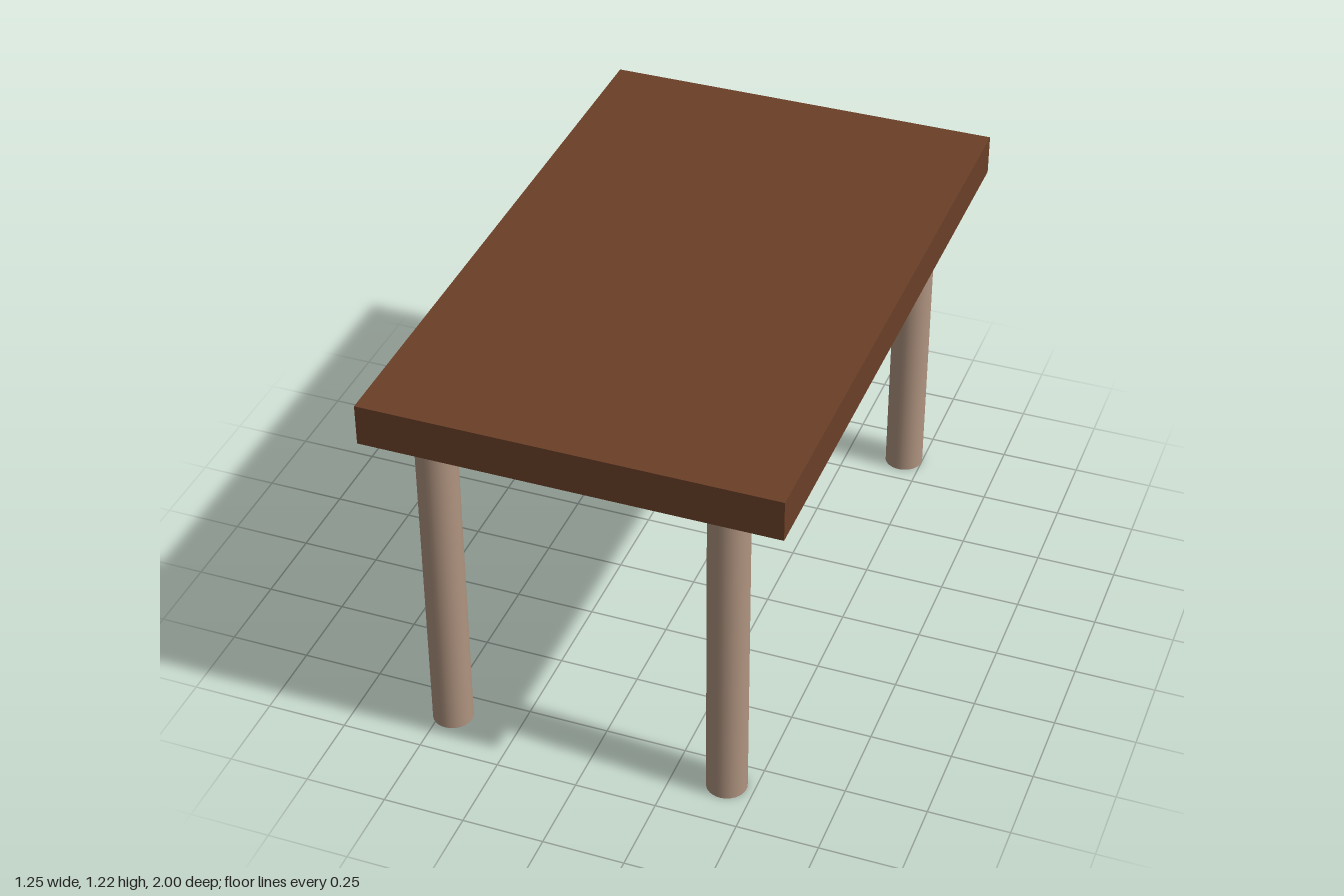
import * as THREE from 'three';

const TOP_HEIGHT = 1.215, TOP_THICKNESS = 0.127;
const LEG_HEIGHT = TOP_HEIGHT - TOP_THICKNESS, LEG_RADIUS = 0.0615;

export function createModel() {
  const model = new THREE.Group();
  model.name = 'table';

  const darkWood = new THREE.MeshStandardMaterial({ color: 0x6b4028 });
  const paleWood = new THREE.MeshStandardMaterial({ color: 0xb09480 });

  // Table top: a plain thick slab
  const top = new THREE.Mesh(new THREE.BoxGeometry(1.25, TOP_THICKNESS, 2), darkWood);
  top.name = 'tableTop';
  top.position.y = TOP_HEIGHT - TOP_THICKNESS / 2;
  model.add(top);

  // Four round legs, set slightly unevenly
  const legGeometry = new THREE.CylinderGeometry(LEG_RADIUS, LEG_RADIUS, LEG_HEIGHT, 32);
  const legs = [
    ['frontLeftLeg', 0.415, 0.842],
    ['frontRightLeg', -0.462, 0.842],
    ['backLeftLeg', 0.439, -0.86],
    ['backRightLeg', -0.462, -0.86],
  ];
  for (const [name, x, z] of legs) {
    const leg = new THREE.Mesh(legGeometry, paleWood);
    leg.name = name;
    leg.position.set(x, LEG_HEIGHT / 2, z);
    model.add(leg);
  }

  return model;
}
